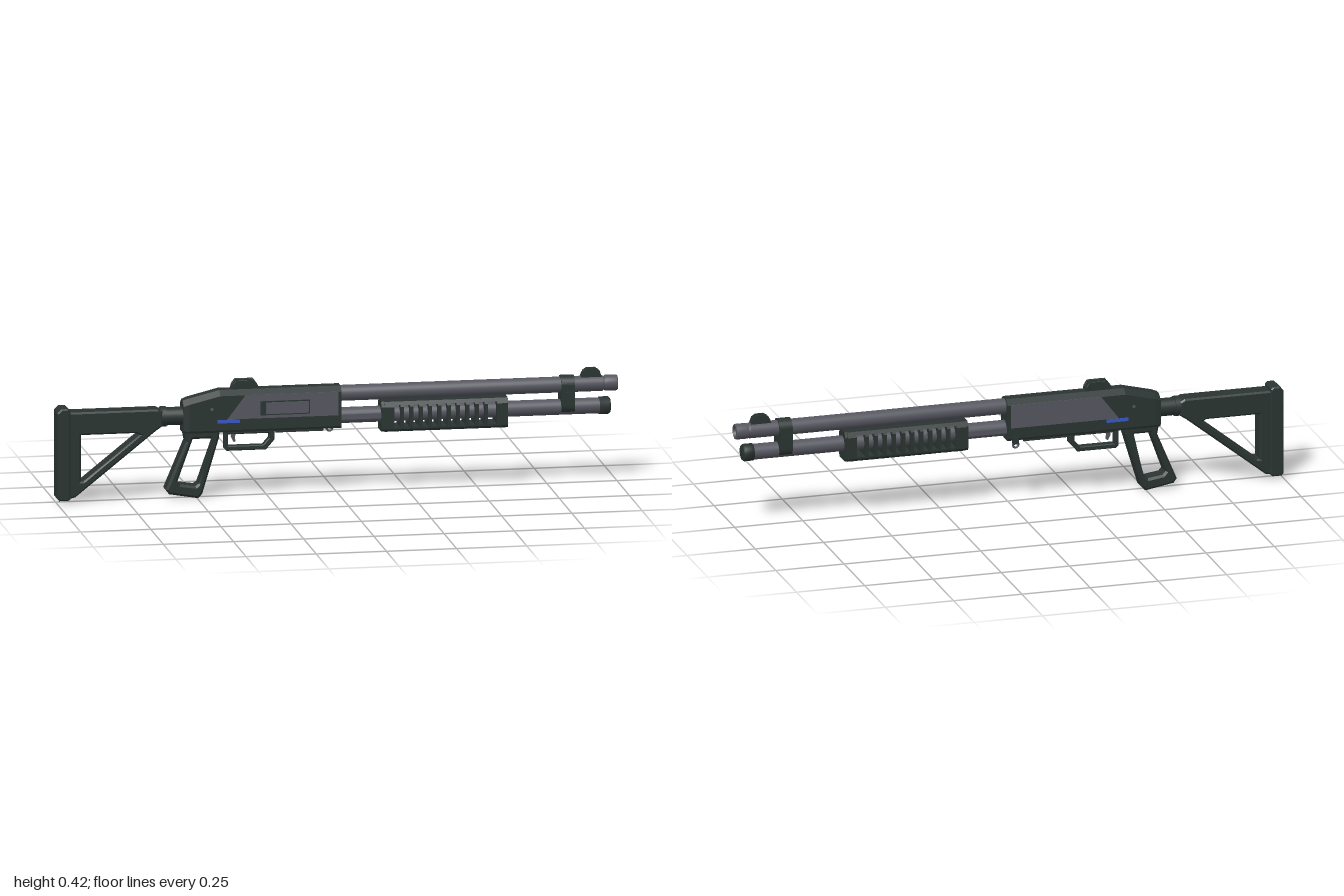
import * as THREE from 'three';

const mat = (name, color) => {
  const m = new THREE.MeshStandardMaterial({ color });
  m.name = name;
  return m;
};

export function createModel() {
  const polymer = mat('dark polymer', 0x2a3432);
  const steel = mat('grey steel', 0x55565f);
  const blue = mat('blue accent', 0x3558c4);
  const model = new THREE.Group();
  model.name = 'shotgun';

  const add = (name, geo, material, x = 0, y = 0, z = 0) => {
    const m = new THREE.Mesh(geo, material);
    m.name = name;
    m.position.set(x, y, z);
    model.add(m);
    return m;
  };
  // Outlines always run counter-clockwise, so that walls of holes face inward
  const outline = pts => {
    const v = pts.map(p => new THREE.Vector2(p[0], p[1]));
    return THREE.ShapeUtils.isClockWise(v) ? v.reverse() : v;
  };
  const box = (name, material, x0, x1, y0, y1, z0, z1) =>
    add(name, new THREE.BoxGeometry(x1 - x0, y1 - y0, z1 - z0), material, (x0 + x1) / 2, (y0 + y1) / 2, (z0 + z1) / 2);

  // Side profile extruded across the width, with chamfered edges
  const slab = (name, material, pts, holes, width, bevel = 0, z = 0) => {
    const s = new THREE.Shape(outline(pts));
    holes.forEach(h => s.holes.push(new THREE.Path(outline(h))));
    const depth = width - 2 * bevel;
    const g = new THREE.ExtrudeGeometry(s, {
      depth, bevelEnabled: bevel > 0, bevelSize: bevel, bevelThickness: bevel,
      bevelOffset: -bevel, bevelSegments: 1,
    });
    g.translate(0, 0, -depth / 2);
    return add(name, g, material, 0, 0, z);
  };

  // Front section (z, y) extruded along the length
  const rail = (name, material, shape, x0, x1) => {
    const g = new THREE.ExtrudeGeometry(shape, { depth: x1 - x0, bevelEnabled: false, curveSegments: 12 });
    g.rotateY(Math.PI / 2);
    return add(name, g, material, x0);
  };

  // Turned part along x from [x, radius] points
  const turned = (name, material, pts, y) => {
    const g = new THREE.LatheGeometry(pts.map(p => new THREE.Vector2(p[1], p[0])), 28);
    g.rotateZ(-Math.PI / 2);
    return add(name, g, material, 0, y);
  };
  const tube = (name, material, x0, x1, r, y) => {
    const g = new THREE.CylinderGeometry(r, r, x1 - x0, 28);
    g.rotateZ(-Math.PI / 2);
    return add(name, g, material, (x0 + x1) / 2, y);
  };

  // Receiver: chamfered section lofted along x, sloping down at the rear
  const section = (x, top, w) => [
    [x, 0.235, w - 0.004], [x, 0.243, w], [x, top - 0.018, w], [x, top, w - 0.022],
    [x, top, 0.022 - w], [x, top - 0.018, -w], [x, 0.243, -w], [x, 0.235, 0.004 - w],
  ];
  const stations = [section(-0.55, 0.35, 0.037), section(-0.53, 0.357, 0.041), section(-0.42, 0.384, 0.041), section(0.012, 0.384, 0.041)];
  const tri = [];
  for (let i = 0; i < stations.length - 1; i++) {
    for (let j = 0; j < 8; j++) {
      const k = (j + 1) % 8, a = stations[i], b = stations[i + 1];
      tri.push(a[j], b[j], b[k], a[j], b[k], a[k]);
    }
  }
  const first = stations[0], last = stations[stations.length - 1];
  for (let j = 1; j < 7; j++) {
    tri.push(first[0], first[j], first[j + 1], last[0], last[j + 1], last[j]);
  }
  const recGeo = new THREE.BufferGeometry();
  recGeo.setAttribute('position', new THREE.Float32BufferAttribute(tri.flat(), 3));
  recGeo.computeVertexNormals();
  add('receiver', recGeo, polymer);

  // Steel side panels, blue marks, pins
  for (const s of [1, -1]) {
    slab('receiverPanel', steel, [[-0.395, 0.282], [0, 0.282], [0, 0.367], [-0.33, 0.367]], [], 0.003, 0, s * 0.0415);
    box('blueMark', blue, -0.43, -0.35, 0.269, 0.281, s * 0.042 - 0.002, s * 0.042 + 0.002);
    const pin = new THREE.CylinderGeometry(0.006, 0.006, 0.004, 12);
    pin.rotateX(Math.PI / 2);
    add('pin', pin, steel, -0.45, 0.32, s * 0.0415);
  }
  // Ejection port on the front side
  box('ejectionPortFrame', polymer, -0.278, -0.102, 0.293, 0.343, 0.04, 0.047);
  box('ejectionPortCover', steel, -0.258, -0.106, 0.297, 0.339, 0.044, 0.049);
  // Loading port and sling stud underneath
  box('loadingPlate', polymer, -0.22, -0.05, 0.226, 0.238, -0.03, 0.03);
  box('loadingAccent', blue, -0.14, -0.06, 0.223, 0.227, -0.012, 0.012);
  box('slingPost', polymer, -0.028, -0.006, 0.222, 0.25, -0.046, -0.036);
  add('slingRing', new THREE.TorusGeometry(0.01, 0.004, 8, 18), steel, -0.017, 0.22, -0.041);

  // Rear sight: base with two ears
  slab('rearSightBase', polymer, [[-0.38, 0.378], [-0.28, 0.378], [-0.29, 0.4], [-0.365, 0.408]], [], 0.036);
  for (const s of [1, -1]) {
    slab('rearSightEar', polymer, [[-0.378, 0.378], [-0.28, 0.378], [-0.283, 0.398], [-0.295, 0.416], [-0.36, 0.416], [-0.372, 0.4]], [], 0.011, 0.001, s * 0.013);
  }

  // Barrel with open bore, and magazine tube with cap
  turned('barrel', steel, [[0, 0], [0, 0.028], [0.948, 0.028], [0.948, 0.024], [0.956, 0.024], [0.956, 0.028], [0.996, 0.028], [1, 0.026], [1, 0.018], [0.97, 0.017]], 0.353);
  tube('bore', polymer, 0.96, 0.972, 0.018, 0.353);
  tube('magazineTube', steel, 0, 0.94, 0.028, 0.273);
  turned('magazineCap', polymer, [[0.935, 0], [0.935, 0.031], [0.968, 0.031], [0.974, 0.026], [0.974, 0]], 0.273);
  for (const s of [1, -1]) box('actionBar', steel, 0, 0.17, 0.263, 0.281, s * 0.029 - 0.003, s * 0.029 + 0.003);

  // Clamp joining the two tubes
  const clamp = new THREE.Shape();
  clamp.absarc(0, 0.353, 0.034, 0, Math.PI, false);
  clamp.absarc(0, 0.283, 0.034, Math.PI, 2 * Math.PI, false);
  rail('barrelClamp', polymer, clamp, 0.797, 0.845);
  box('clampLug', polymer, 0.808, 0.837, 0.3, 0.33, -0.038, 0.038);

  // Front sight, with its bead facing the rear
  slab('frontSightBase', polymer, [[0.868, 0.374], [0.945, 0.374], [0.938, 0.394], [0.875, 0.394]], [], 0.026);
  for (const s of [1, -1]) {
    slab('frontSightEar', polymer, [[0.874, 0.385], [0.94, 0.385], [0.936, 0.4], [0.922, 0.409], [0.892, 0.409], [0.878, 0.4]], [], 0.006, 0, s * 0.01);
  }
  box('frontSightBlade', polymer, 0.886, 0.925, 0.39, 0.405, -0.004, 0.004);
  box('frontSightBead', blue, 0.88, 0.887, 0.394, 0.403, -0.004, 0.004);

  // Pump grip: ribs round the magazine tube, joined by rails and end blocks
  const ring = w => {
    const s = new THREE.Shape(outline([[-w + 0.006, 0.215], [w - 0.006, 0.215], [w, 0.224], [w, 0.303], [w - 0.012, 0.321], [-w + 0.012, 0.321], [-w, 0.303], [-w, 0.224]]));
    const bore = new THREE.Path();
    bore.absarc(0, 0.273, 0.0275, 0, Math.PI * 2, false);
    s.holes.push(bore);
    return s;
  };
  const outer = ring(0.043);
  rail('pumpRearTip', polymer, ring(0.038), 0.155, 0.165);
  rail('pumpRear', polymer, outer, 0.165, 0.2);
  rail('pumpFront', polymer, outer, 0.565, 0.597);
  rail('pumpFrontTip', polymer, ring(0.038), 0.597, 0.606);
  for (let i = 0; i < 10; i++) {
    const x = 0.222 + i * 0.0332;
    rail('pumpRib', polymer, outer, x, x + 0.0125);
  }
  rail('pumpBottom', polymer, new THREE.Shape(outline([[-0.036, 0.215], [0.036, 0.215], [0.041, 0.223], [0.041, 0.229], [-0.041, 0.229], [-0.041, 0.223]])), 0.2, 0.565);
  rail('pumpTop', polymer, new THREE.Shape(outline([[-0.039, 0.309], [0.039, 0.309], [0.031, 0.321], [-0.031, 0.321]])), 0.2, 0.565);

  // Trigger and guard
  slab('triggerGuard', polymer, [[-0.402, 0.24], [-0.402, 0.172], [-0.393, 0.163], [-0.252, 0.163], [-0.222, 0.198], [-0.222, 0.24]],
    [[[-0.387, 0.222], [-0.387, 0.18], [-0.262, 0.18], [-0.241, 0.204], [-0.241, 0.222]]], 0.03, 0.003);
  slab('trigger', steel, [[-0.372, 0.235], [-0.352, 0.235], [-0.362, 0.212], [-0.36, 0.195], [-0.366, 0.192], [-0.375, 0.21]], [], 0.012);

  // Skeleton pistol grip
  slab('pistolGrip', polymer, [[-0.548, 0.245], [-0.42, 0.245], [-0.422, 0.215], [-0.482, 0.015], [-0.497, 0], [-0.6, 0.018], [-0.612, 0.034], [-0.54, 0.205]],
    [[[-0.516, 0.213], [-0.454, 0.213], [-0.442, 0.2], [-0.494, 0.053], [-0.506, 0.044], [-0.56, 0.052], [-0.57, 0.064]]], 0.066, 0.008);

  // Stock: neck, collar, triangular frame, butt pad
  tube('stockNeck', polymer, -0.65, -0.54, 0.032, 0.293);
  tube('stockCollar', polymer, -0.627, -0.608, 0.036, 0.293);
  slab('stockFrame', polymer, [[-0.96, 0.325], [-0.64, 0.325], [-0.622, 0.315], [-0.622, 0.265], [-0.645, 0.25], [-0.935, 0.02], [-0.96, 0.015]],
    [[[-0.915, 0.243], [-0.72, 0.243], [-0.705, 0.236], [-0.905, 0.077], [-0.915, 0.077]]], 0.068, 0.006);
  slab('buttPad', polymer, [[-0.993, 0.332], [-0.985, 0.34], [-0.962, 0.34], [-0.953, 0.332], [-0.953, 0.016], [-0.96, 0.01], [-0.993, 0.01], [-1, 0.018], [-1, 0.325]], [], 0.08, 0.005);
  for (let i = 0; i < 6; i++) {
    const y = 0.05 + i * 0.045;
    for (const s of [1, -1]) box('padRidge', polymer, -0.996, -0.984, y, y + 0.02, s * 0.0385 - 0.002, s * 0.0385 + 0.002);
  }
  return model;
}
